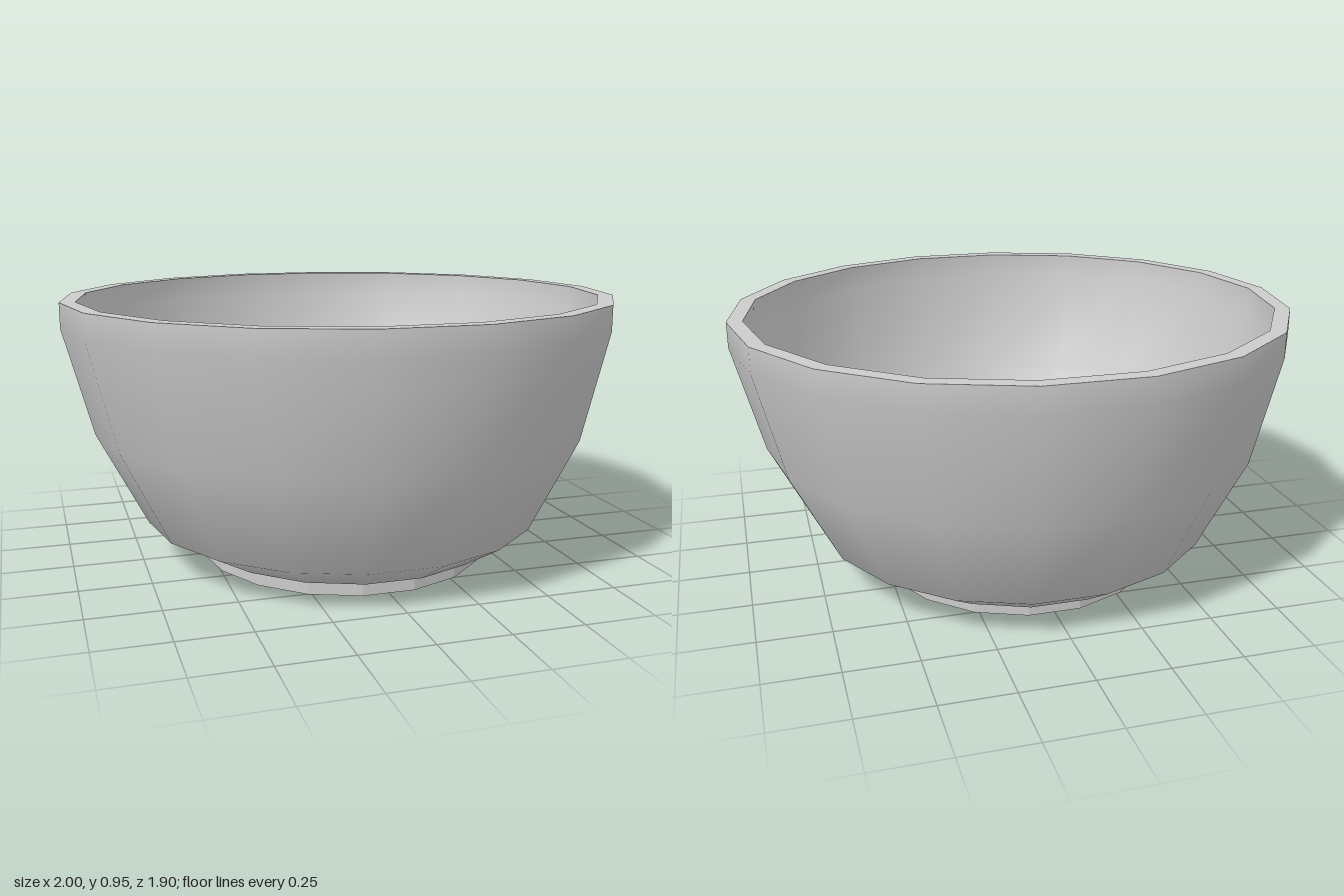
import * as THREE from 'three';

const SIDES = 18;

// Skin a list of elliptical rings [radiusX, radiusZ, y]; a zero radius closes the surface.
// Rings listed upwards face outward, rings listed downwards face inward.
function skin(name, rings, flat = false) {
  const positions = [];
  const index = [];
  rings.forEach(([rx, rz, y], r) => {
    for (let i = 0; i < SIDES; i++) {
      const a = (i / SIDES) * Math.PI * 2;
      positions.push(rx * Math.cos(a), y, rz * Math.sin(a));
      if (r === 0) continue;
      const j = (i + 1) % SIDES;
      const low = (r - 1) * SIDES;
      const high = r * SIDES;
      if (rings[r - 1][0] > 0) index.push(low + i, high + i, low + j);
      if (rx > 0) index.push(low + j, high + i, high + j);
    }
  });
  const geometry = new THREE.BufferGeometry();
  geometry.setAttribute('position', new THREE.Float32BufferAttribute(positions, 3));
  geometry.setIndex(index);
  geometry.computeVertexNormals();
  const material = new THREE.MeshStandardMaterial({ color: 0xcccccc, flatShading: flat });
  const mesh = new THREE.Mesh(geometry, material);
  mesh.name = name;
  return mesh;
}

export function createModel() {
  const model = new THREE.Group();
  model.name = 'bowl';

  // Key rings shared by neighbouring surfaces
  const rimOuter = [1, 0.965, 0.95];
  const rimInner = [0.945, 0.91, 0.95];
  const baseEdge = [0.57, 0.63, 0.06];
  const floorEdge = [0.56, 0.61, 0.1];

  // Smooth bowl shell
  model.add(
    skin('outerWall', [
      baseEdge,
      [0.725, 0.75, 0.14],
      [0.9, 0.9, 0.48],
      [1, 0.965, 0.86],
      rimOuter,
    ]),
    skin('rim', [rimOuter, rimInner], true),
    skin('innerWall', [
      rimInner,
      [0.94, 0.91, 0.86],
      [0.85, 0.85, 0.49],
      [0.68, 0.7, 0.17],
      floorEdge,
    ]),
    skin('base', [[0, 0, 0.06], baseEdge], true),
  );

  // Floor with a barely raised ring
  model.add(skin('floor', [
    floorEdge,
    [0.495, 0.537, 0.1],
    [0.495, 0.537, 0.103],
    [0.44, 0.485, 0.103],
    [0.44, 0.485, 0.1],
    [0, 0, 0.1],
  ], true));

  // Faceted foot ring, open in the middle
  model.add(skin('footRing', [
    [0.415, 0.45, 0.06],
    [0.415, 0.45, 0],
    [0.53, 0.58, 0],
    [0.53, 0.58, 0.06],
  ], true));

  return model;
}
